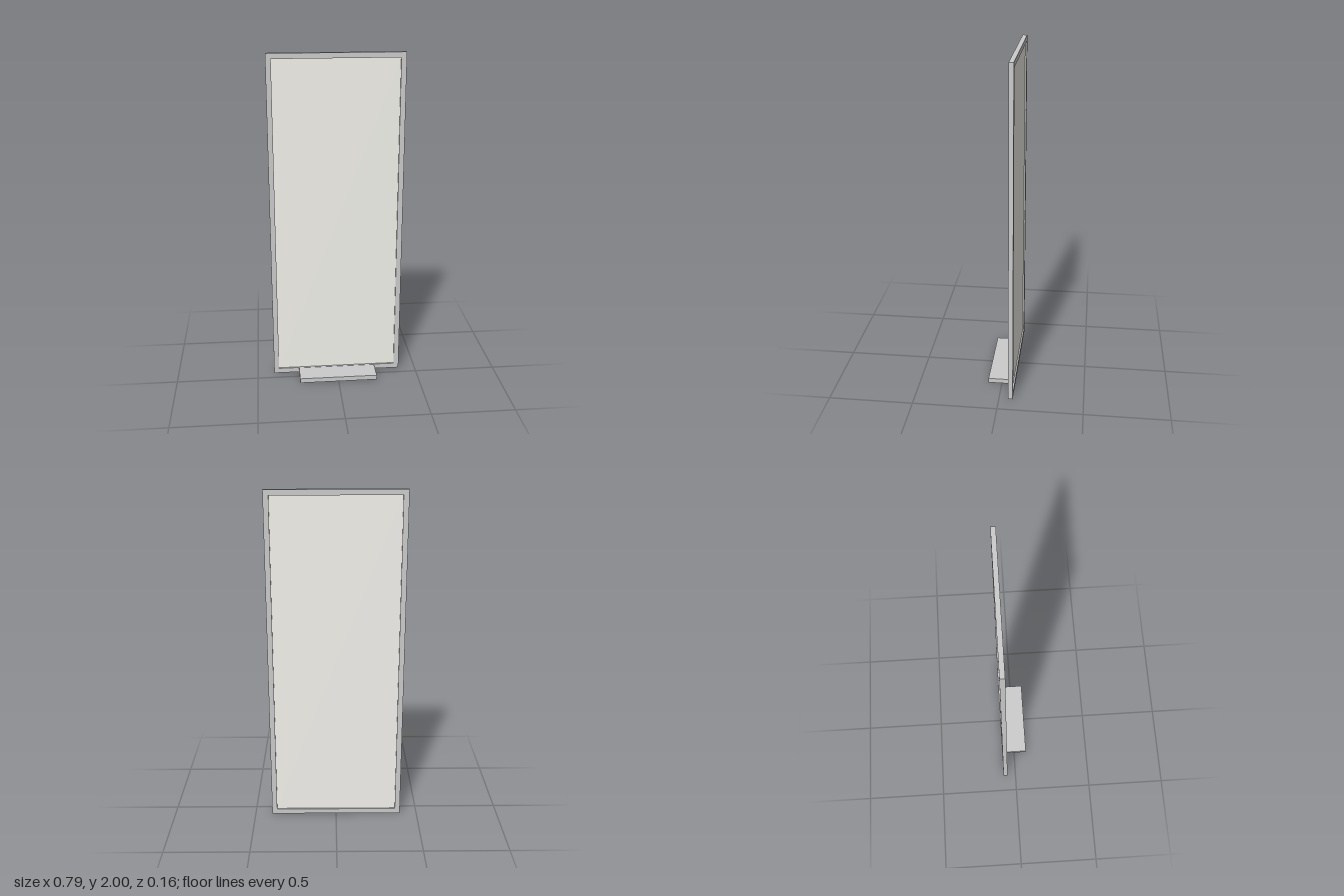
import * as THREE from 'three';

const W = 0.794, H = 2, BAR = 0.031;   // frame outline and border width
const BACK = -0.082, DEPTH = 0.027;    // frame rear face and thickness

function rectangle(PathType, halfW, y0, y1) {
  const p = new PathType();
  p.moveTo(-halfW, y0);
  p.lineTo(halfW, y0);
  p.lineTo(halfW, y1);
  p.lineTo(-halfW, y1);
  p.closePath();
  return p;
}

export function createModel() {
  const group = new THREE.Group();
  group.name = 'standingPanel';
  const grey = new THREE.MeshStandardMaterial({ color: 0xcccccc });
  const pale = new THREE.MeshStandardMaterial({ color: 0xf3f2ec });

  function add(name, geometry, material, x, y, z) {
    const mesh = new THREE.Mesh(geometry, material);
    mesh.name = name;
    mesh.position.set(x, y, z);
    group.add(mesh);
  }

  // Rectangular frame with an open centre
  const outline = rectangle(THREE.Shape, W / 2, 0, H);
  outline.holes.push(rectangle(THREE.Path, W / 2 - BAR, BAR, H - BAR));
  add('frame', new THREE.ExtrudeGeometry(outline, { depth: DEPTH, bevelEnabled: false }), grey, 0, 0, BACK);

  // Thin sheet recessed from both faces of the frame
  add('panel', new THREE.BoxGeometry(W - 2 * BAR, H - 2 * BAR, 0.009), pale, 0, H / 2, BACK + DEPTH / 2);

  // Flat foot reaching forward from the bottom bar
  const footDepth = 0.082 - (BACK + DEPTH);
  add('foot', new THREE.BoxGeometry(0.478, 0.029, footDepth), grey, 0, 0.0145, 0.082 - footDepth / 2);

  return group;
}
